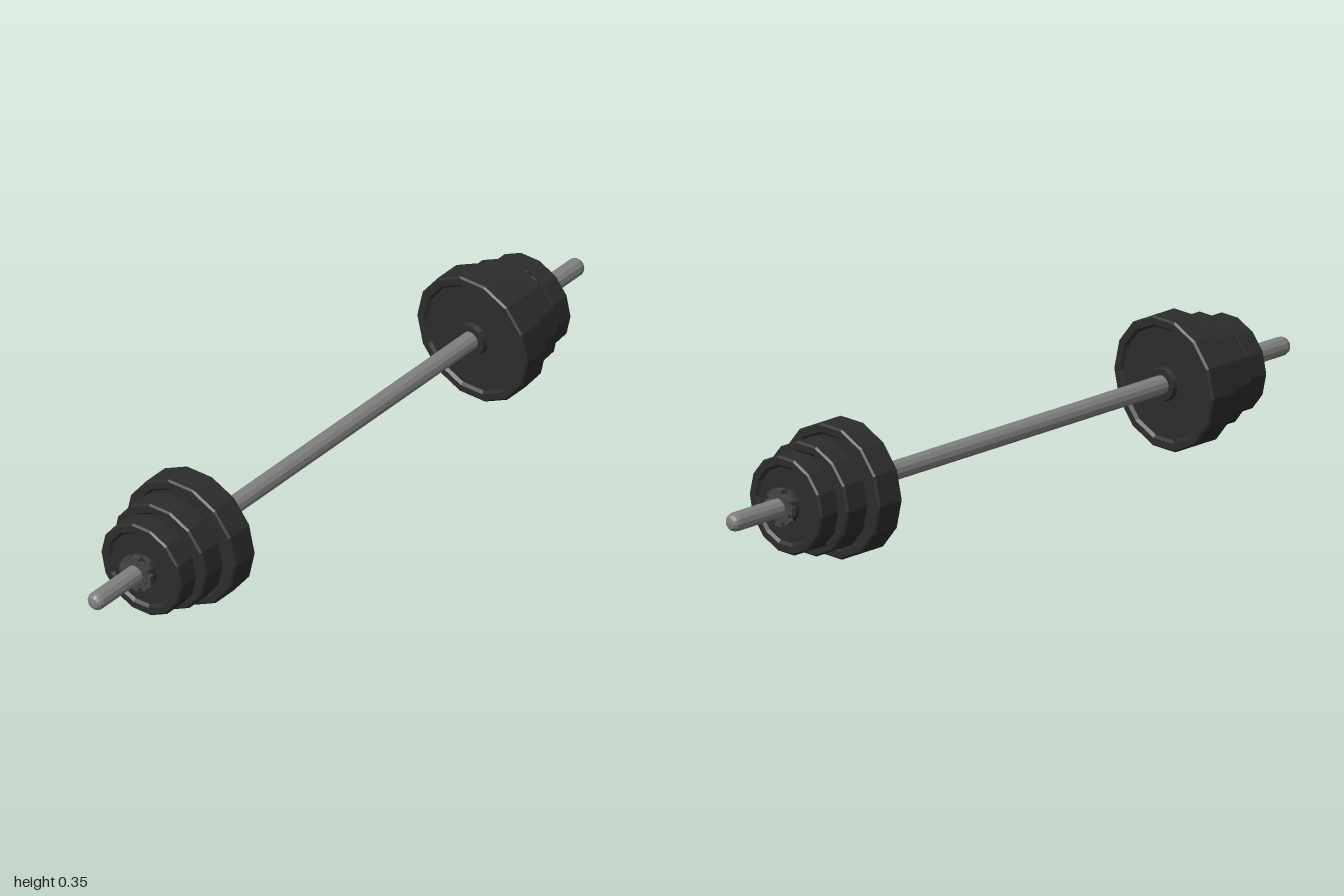
import * as THREE from 'three';

const AXIS_Y = 0.175;
const material = (color) => new THREE.MeshStandardMaterial({ color, flatShading: true });
const rubber = material(0x2c2c2c);
const steel = material(0x808080);
const collarMat = material(0x444444);

// Spins [radius, x] pairs around the x axis
function turned(name, profile, sides, mat) {
  const geo = new THREE.LatheGeometry(profile.map(([r, x]) => new THREE.Vector2(r, x)), sides);
  geo.rotateZ(-Math.PI / 2);
  const mesh = new THREE.Mesh(geo, mat);
  mesh.name = name;
  return mesh;
}

// Fourteen-sided plate: chamfered rim, recessed faces and a raised hub
function plate(name, radius, x0, x1) {
  const c = 0.005, recess = 0.008, hub = 0.046;
  const lip = radius - 0.023, floor = radius - 0.03;
  return turned(name, [
    [0.02, x0 - 0.004], [hub - 0.004, x0 - 0.004], [hub, x0 + recess],
    [floor, x0 + recess], [lip, x0], [radius - c, x0], [radius, x0 + c],
    [radius, x1 - c], [radius - c, x1], [lip, x1], [floor, x1 - recess],
    [hub, x1 - recess], [hub - 0.004, x1 + 0.004], [0.02, x1 + 0.004],
  ], 14, rubber);
}

// Locking nut with notches around its edge
function collar() {
  const group = new THREE.Group();
  group.name = 'collar';
  const teeth = 8, shape = new THREE.Shape();
  for (let i = 0; i < teeth; i++) {
    const mid = (i / teeth) * Math.PI * 2;
    [[-0.25, 0.039], [-0.22, 0.051], [0.22, 0.051], [0.25, 0.039]].forEach(([da, r], j) => {
      const a = mid + da;
      if (i + j === 0) shape.moveTo(r * Math.cos(a), r * Math.sin(a));
      else shape.lineTo(r * Math.cos(a), r * Math.sin(a));
    });
  }
  shape.closePath();
  const geo = new THREE.ExtrudeGeometry(shape, { depth: 0.014, bevelEnabled: false });
  geo.rotateY(Math.PI / 2);
  const nut = new THREE.Mesh(geo, collarMat);
  nut.name = 'notchedNut';
  nut.position.x = 0.81;
  const sleeve = turned('collarSleeve', [[0.02, 0.785], [0.038, 0.785], [0.038, 0.812], [0.02, 0.812]], 14, rubber);
  group.add(nut, sleeve);
  return group;
}

export function createModel() {
  const model = new THREE.Group();
  model.name = 'barbell';
  const body = new THREE.Group();
  body.name = 'assembly';
  body.position.y = AXIS_Y;
  model.add(body);

  // Bar with rounded ends
  body.add(turned('bar', [
    [0, -1], [0.015, -0.997], [0.022, -0.99], [0.025, -0.98],
    [0.025, 0.98], [0.022, 0.99], [0.015, 0.997], [0, 1],
  ], 12, steel));

  // Matching weight stacks
  for (const side of [1, -1]) {
    const stack = new THREE.Group();
    stack.name = side > 0 ? 'leftWeights' : 'rightWeights';
    stack.add(
      plate('largePlate', 0.179, 0.555, 0.64),
      plate('mediumPlate', 0.151, 0.65, 0.725),
      plate('smallPlate', 0.131, 0.734, 0.8),
      collar(),
    );
    if (side < 0) stack.rotation.y = Math.PI;
    body.add(stack);
  }
  return model;
}
